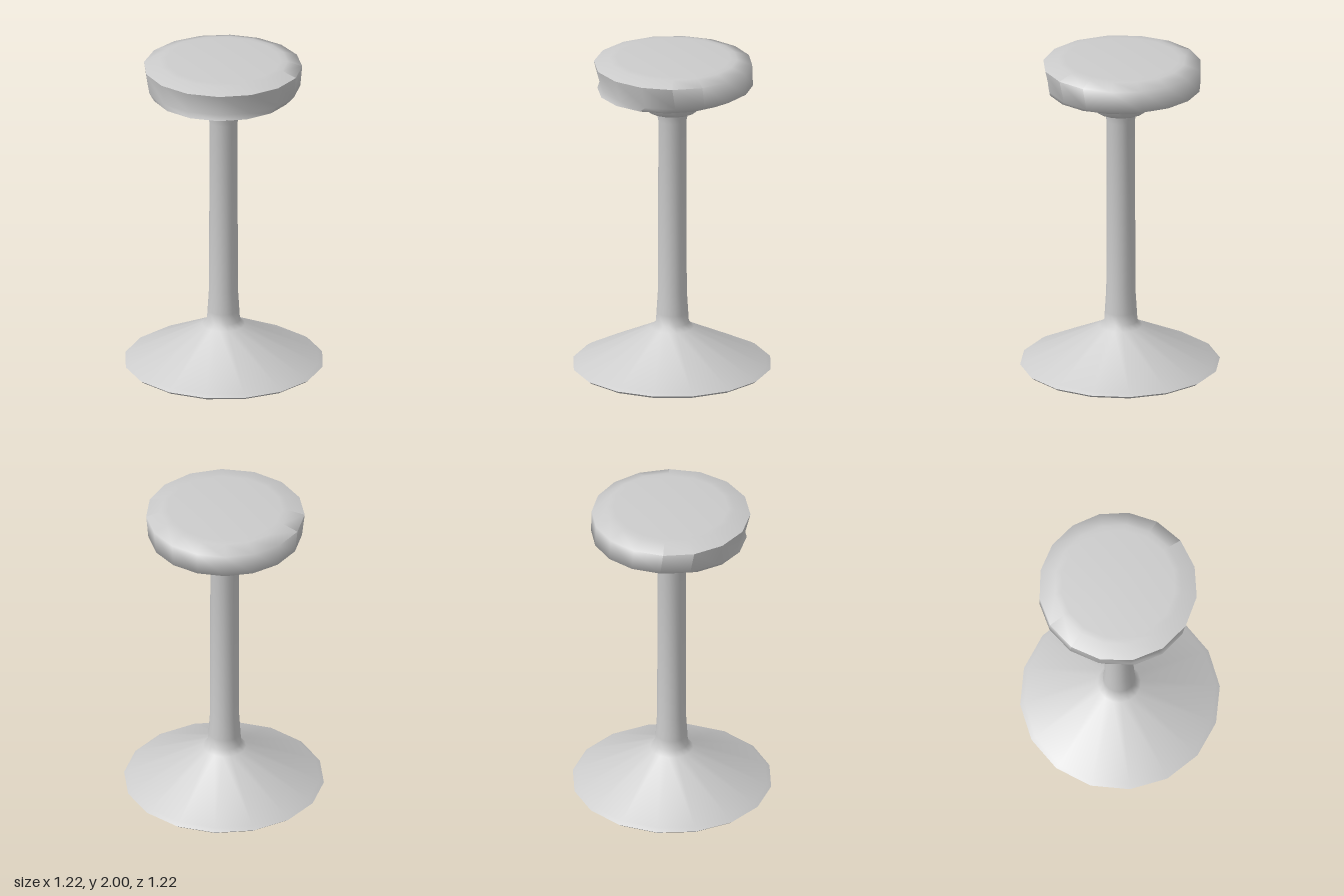
import * as THREE from 'three';
import { mergeVertices, toCreasedNormals } from 'three/addons/utils/BufferGeometryUtils.js';

const material = new THREE.MeshStandardMaterial({ color: 0xcccccc });
const SIDES = 16;
const DEG = Math.PI / 180;

// Turned part from rings [y, radius, centreX, centreZ], listed bottom to top.
// angleAt(i) gives the plan angle of side i, measured from the back towards +x.
function turned(name, rings, angleAt, crease) {
  const profile = rings.map(([y, r]) => new THREE.Vector2(r, y));
  const geometry = new THREE.LatheGeometry(profile, SIDES);
  const pos = geometry.attributes.position;
  for (let v = 0; v < pos.count; v++) {
    const side = Math.floor(v / rings.length) % SIDES;
    const [y, r, cx = 0, cz = 0] = rings[v % rings.length];
    const a = angleAt(side);
    pos.setXYZ(v, cx + r * Math.sin(a), y, cz - r * Math.cos(a));
  }
  geometry.deleteAttribute('normal');
  geometry.deleteAttribute('uv');
  const mesh = new THREE.Mesh(toCreasedNormals(mergeVertices(geometry), crease), material);
  mesh.name = name;
  return mesh;
}

// Sides run anticlockwise in plan, so the angle falls from the back.
const even = (offset) => (i) => offset * DEG - (i / SIDES) * Math.PI * 2;

// Slightly uneven spacing for the seat cushion
const uneven = (i) => {
  const a = -(i / SIDES) * Math.PI * 2;
  return a - (2.6 + 3.6 * Math.cos(a - 155 * DEG)) * DEG;
};

export function createModel() {
  const group = new THREE.Group();
  group.name = 'stool';

  // Flared foot flowing into the column
  group.add(turned('baseAndColumn', [
    [0.005, 0],
    [0.005, 0.555],
    [0.012, 0.59],
    [0.028, 0.61],
    [0.045, 0.583],
    [0.265, 0.132, 0, -0.005],
    [0.295, 0.102, 0, -0.005],
    [0.36, 0.098, 0, -0.005],
    [0.5, 0.089, 0, -0.005],
    [1.6, 0.087, 0, -0.005],
    [1.645, 0.096, 0, -0.005],
    [1.68, 0.102, 0, -0.005],
  ], even(4), 1.2));

  // Cup under the seat
  group.add(turned('seatSupport', [
    [1.668, 0, 0, -0.005],
    [1.668, 0.152, 0, -0.005],
    [1.682, 0.167, 0, -0.006],
    [1.74, 0.2, 0, -0.01],
    [1.8, 0.23, 0, -0.015],
  ], even(8), 1.1));

  // Rounded cushion, its lower edge a little off centre
  group.add(turned('seat', [
    [1.796, 0, -0.02, 0.01],
    [1.796, 0.428, -0.025, 0.01],
    [1.83, 0.468, 0.015, -0.025],
    [1.965, 0.483, 0, -0.012],
    [1.996, 0.39, 0.003, -0.01],
    [2, 0.35, 0.003, -0.01],
    [2, 0, 0.003, -0.01],
  ], uneven, 1.35));

  return group;
}
